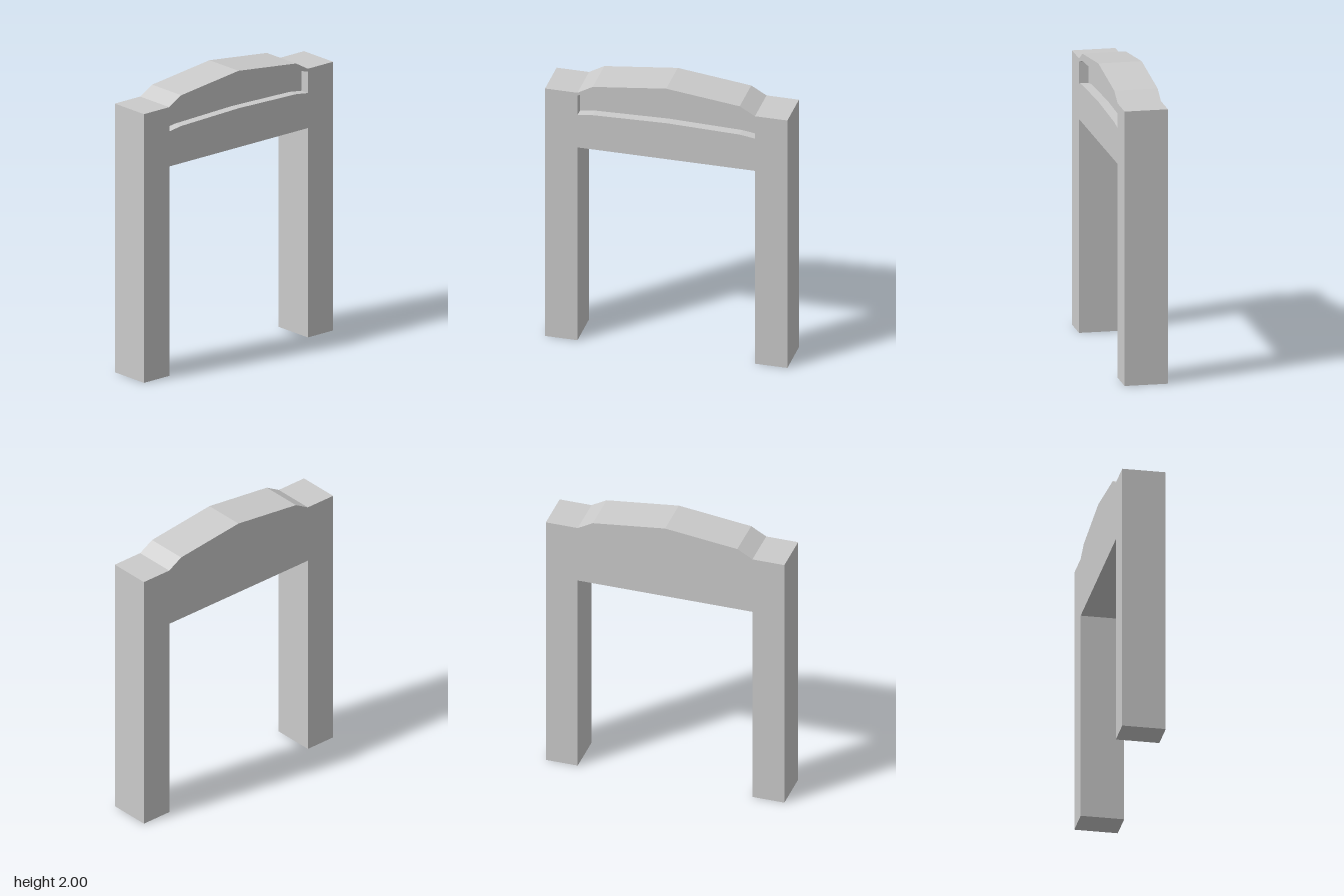
import * as THREE from 'three';

const HALF_DEPTH = 0.147;
const RECESS_Z = 0.082;

// Right half of a contour mirrored into a full counter-clockwise loop
const mirrored = (half) => [
  ...half,
  ...half.filter(([x]) => x > 0).reverse().map(([x, y]) => [-x, y]),
];

const toShape = (pts) => new THREE.Shape(pts.map(([x, y]) => new THREE.Vector2(x, y)));

// Strip of flat faces along a closed contour, from z0 to z1, facing outward
function wallGeometry(pts, z0, z1) {
  const pos = [];
  pts.forEach(([ax, ay], i) => {
    const [bx, by] = pts[(i + 1) % pts.length];
    pos.push(ax, ay, z0, bx, by, z0, bx, by, z1);
    pos.push(ax, ay, z0, bx, by, z1, ax, ay, z1);
  });
  const geo = new THREE.BufferGeometry();
  geo.setAttribute('position', new THREE.Float32BufferAttribute(pos, 3));
  geo.computeVertexNormals();
  return geo;
}

export function createModel() {
  const group = new THREE.Group();
  group.name = 'archway';
  const material = new THREE.MeshStandardMaterial({ color: 0xcccccc, flatShading: true });

  const add = (name, geometry, z = 0) => {
    const mesh = new THREE.Mesh(geometry, material);
    mesh.name = name;
    mesh.position.z = z;
    group.add(mesh);
    return mesh;
  };

  // Two square posts joined by a lintel with a peaked crest
  const frame = mirrored([
    [0.61, 1.465], [0.61, 0], [0.833, 0], [0.833, 1.88],
    [0.61, 1.88], [0.505, 1.94], [0, 2],
  ]);

  // Sign panel sunk into the front, following the crest
  const panel = mirrored([
    [0, 1.738], [0.505, 1.725], [0.61, 1.71],
    [0.61, 1.86], [0.505, 1.89], [0, 1.92],
  ].slice(1));
  panel.push([0, 1.738]);

  const frontShape = toShape(frame);
  frontShape.holes.push(toShape(panel));

  add('frontFace', new THREE.ShapeGeometry(frontShape), HALF_DEPTH);
  // Half turn is safe because the outline is symmetric
  add('backFace', new THREE.ShapeGeometry(toShape(frame)), -HALF_DEPTH).rotation.y = Math.PI;
  add('frameSides', wallGeometry(frame, -HALF_DEPTH, HALF_DEPTH));

  add('recessPanel', new THREE.ShapeGeometry(toShape(panel)), RECESS_Z);
  add('recessSides', wallGeometry([...panel].reverse(), RECESS_Z, HALF_DEPTH));

  return group;
}
